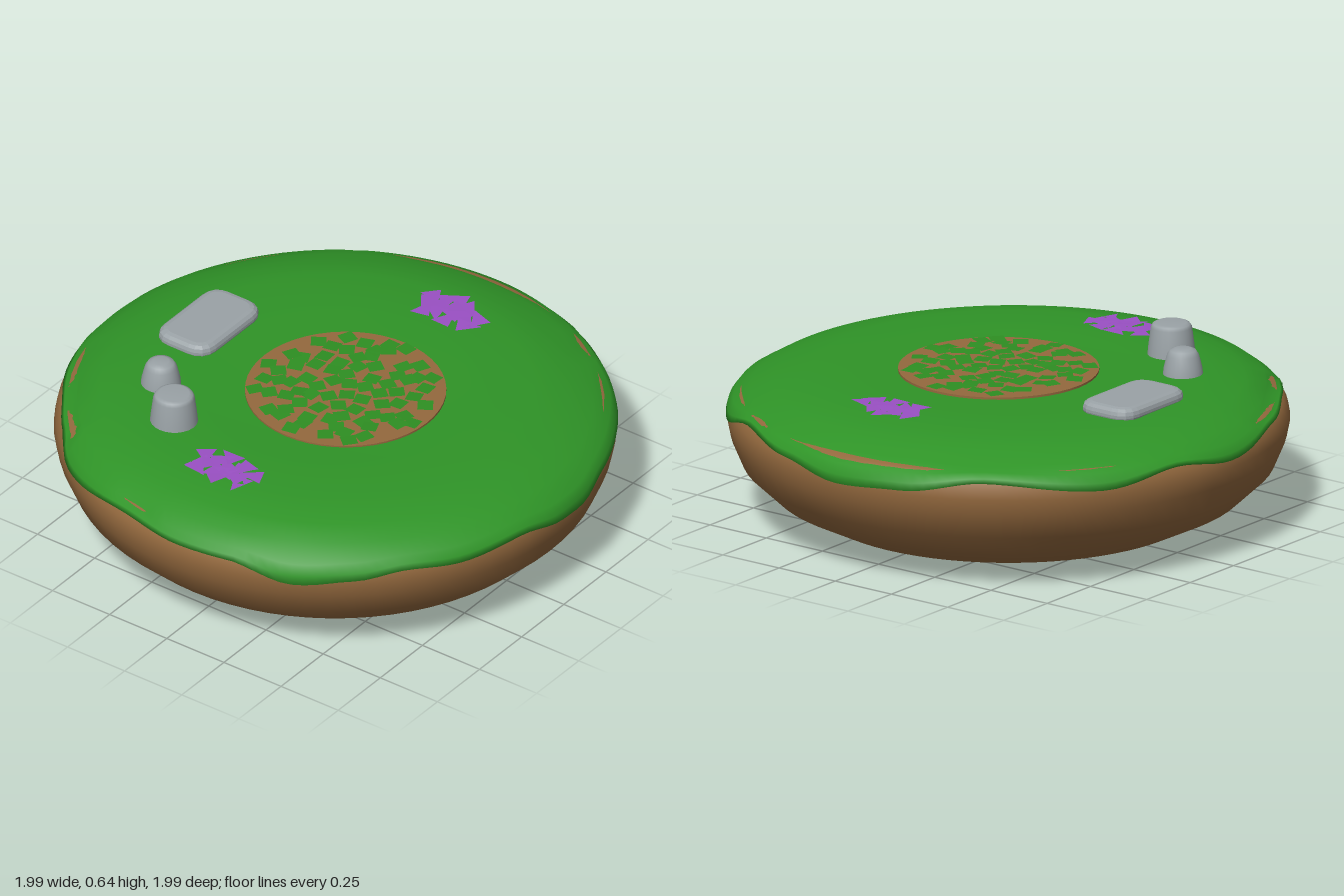
import * as THREE from 'three';

const mat = (name, color, side = THREE.FrontSide) => {
  const m = new THREE.MeshStandardMaterial({ color, side });
  m.name = name;
  return m;
};

// small seeded random generator
function seeded(seed) {
  return () => {
    seed = (seed * 16807) % 2147483647;
    return seed / 2147483647;
  };
}

// interpolation in a list of [key, value] pairs, optionally eased
function lookup(table, k, eased) {
  for (let i = 0; i < table.length - 1; i++) {
    const [k0, v0] = table[i], [k1, v1] = table[i + 1];
    if (k <= k1) {
      let t = Math.max(0, (k - k0) / (k1 - k0));
      if (eased) t = t * t * (3 - 2 * t);
      return v0 + (v1 - v0) * t;
    }
  }
  return table[table.length - 1][1];
}

// soil outline as [height, radius]
const SOIL = [[0, 0], [0.002, 0.5], [0.035, 0.69], [0.11, 0.84], [0.205, 0.94], [0.30, 0.98],
  [0.36, 0.992], [0.40, 0.985], [0.43, 0.97], [0.45, 0.945], [0.46, 0.88]];
const soilRadius = (y) => lookup(SOIL, y, false);

// height of the wavy grass hem as [angle from the front in degrees, height]
const HEM = [[0, 0.365], [7, 0.358], [17, 0.388], [30, 0.388], [42, 0.375], [58, 0.43], [75, 0.40],
  [90, 0.362], [105, 0.375], [122, 0.418], [148, 0.38], [165, 0.42], [180, 0.388], [200, 0.43],
  [215, 0.442], [225, 0.435], [236, 0.39], [258, 0.425], [272, 0.41], [284, 0.41], [298, 0.356],
  [310, 0.375], [321, 0.40], [333, 0.385], [348, 0.40], [360, 0.365]];

// grass cap: rings from the middle out to the hem, tucked under at the end
function grassGeometry() {
  const N = 144, pos = [], idx = [];
  const top = [[0.001, 0.523], [0.25, 0.523], [0.48, 0.524], [0.7, 0.526], [0.83, 0.499], [0.91, 0.472]];
  const rings = top.length + 4;
  for (let j = 0; j < N; j++) {
    const a = (j / N) * Math.PI * 2;
    const hem = lookup(HEM, (j / N) * 360, true);
    const rows = top.map(([r, y]) => [r, y - 0.014 * r * r * Math.sin(a)]);
    for (const t of [0.35, 0.7]) {
      const y = 0.468 + (hem - 0.468) * t;
      rows.push([soilRadius(y) + 0.009, y]);
    }
    rows.push([soilRadius(hem) + 0.008, hem]);
    rows.push([soilRadius(hem) - 0.012, hem - 0.003]);
    for (const [r, y] of rows) pos.push(r * Math.sin(a), y, r * Math.cos(a));
  }
  for (let j = 0; j < N; j++) {
    const n = ((j + 1) % N) * rings, c = j * rings;
    for (let i = 0; i < rings - 1; i++) {
      idx.push(c + i, c + i + 1, n + i + 1, c + i, n + i + 1, n + i);
    }
  }
  const g = new THREE.BufferGeometry();
  g.setAttribute('position', new THREE.Float32BufferAttribute(pos, 3));
  g.setIndex(idx);
  g.computeVertexNormals();
  return g;
}

export function createModel() {
  const model = new THREE.Group();
  const soilMat = mat('soil brown', 0x94693e);
  const grassMat = mat('grass green', 0x2f9427);
  const leafMat = mat('leaf green', 0x2e8f22, THREE.DoubleSide);
  const petalMat = mat('petal purple', 0x9a50c4, THREE.DoubleSide);
  const stoneMat = mat('stone grey', 0x9aa2a6);

  const add = (name, geometry, material, x = 0, y = 0, z = 0, parent = model) => {
    const m = new THREE.Mesh(geometry, material);
    m.name = name;
    m.position.set(x, y, z);
    parent.add(m);
    return m;
  };
  const group = (name) => {
    const g = new THREE.Group();
    g.name = name;
    model.add(g);
    return g;
  };

  // ground
  add('soilBase', new THREE.LatheGeometry(SOIL.map(([y, r]) => new THREE.Vector2(r, y)), 72), soilMat);
  add('grassCap', grassGeometry(), grassMat);

  // bare patch with scattered square leaves
  add('soilPatch', new THREE.CylinderGeometry(0.355, 0.355, 0.008, 48), soilMat, 0, 0.527, 0.045);
  const leaves = group('scatteredLeaves');
  const rnd = seeded(4711);
  const leafGeo = new THREE.PlaneGeometry(0.055, 0.055).rotateX(-Math.PI / 2);
  const COUNT = 78;
  for (let i = 0; i < COUNT; i++) {
    const r = 0.325 * Math.sqrt((i + 0.5) / COUNT), a = i * 2.39996 + (rnd() - 0.5) * 0.25;
    const leaf = add('leaf', leafGeo, leafMat, r * Math.cos(a), 0.534 + rnd() * 0.006, 0.045 + r * Math.sin(a), leaves);
    leaf.rotation.set((rnd() - 0.5) * 0.12, rnd() * Math.PI, (rnd() - 0.5) * 0.12);
  }

  // two flower clusters made of triangular petals
  const petalGeo = new THREE.BufferGeometry();
  petalGeo.setAttribute('position', new THREE.Float32BufferAttribute(
    [-0.038, 0, 0.035, 0.038, 0, 0.035, 0.005, 0, -0.055], 3));
  petalGeo.computeVertexNormals();
  for (const [name, cx, cz] of [['rightFlowers', -0.65, -0.01], ['leftFlowers', 0.61, 0.05]]) {
    const cluster = group(name);
    for (let i = 0; i < 15; i++) {
      const r = Math.sqrt((i + 0.4) / 15), a = i * 2.39996 + rnd() * 0.3;
      const petal = add('petal', petalGeo, petalMat,
        cx + 0.07 * r * Math.cos(a), 0.532 + rnd() * 0.004, cz + 0.135 * r * Math.sin(a), cluster);
      petal.rotation.set((rnd() - 0.5) * 0.1, rnd() * Math.PI * 2, (rnd() - 0.5) * 0.1);
    }
  }

  // round stones with softened tops
  const stone = (rBottom, rTop, h, bevel) => new THREE.LatheGeometry([
    [rBottom, 0], [rBottom * 0.96, h * 0.3], [rTop + bevel * 0.2, h - bevel], [rTop - bevel * 0.25, h - bevel * 0.3],
    [rTop - bevel, h], [0, h]].map(([r, y]) => new THREE.Vector2(r, y)), 24);
  add('largeStone', stone(0.086, 0.07, 0.128, 0.016), stoneMat, -0.51, 0.515, -0.33);
  add('smallStone', stone(0.072, 0.052, 0.106, 0.024), stoneMat, -0.35, 0.515, -0.505);

  // flat slab with chamfered corners and sloping sides
  const slab = new THREE.Shape();
  const w = 0.155, d = 0.085, c = 0.045;
  slab.moveTo(-w + c, -d);
  slab.lineTo(w - c, -d);
  slab.quadraticCurveTo(w, -d, w, -d + c);
  slab.lineTo(w, d - c);
  slab.quadraticCurveTo(w, d, w - c, d);
  slab.lineTo(-w + c, d);
  slab.quadraticCurveTo(-w, d, -w, d - c);
  slab.lineTo(-w, -d + c);
  slab.quadraticCurveTo(-w, -d, -w + c, -d);
  const slabGeo = new THREE.ExtrudeGeometry(slab, {
    depth: 0.01, bevelThickness: 0.025, bevelSize: 0.03, bevelSegments: 3, curveSegments: 4 });
  slabGeo.rotateX(-Math.PI / 2);
  add('flatStone', slabGeo, stoneMat, 0.035, 0.528, -0.58);

  return model;
}
